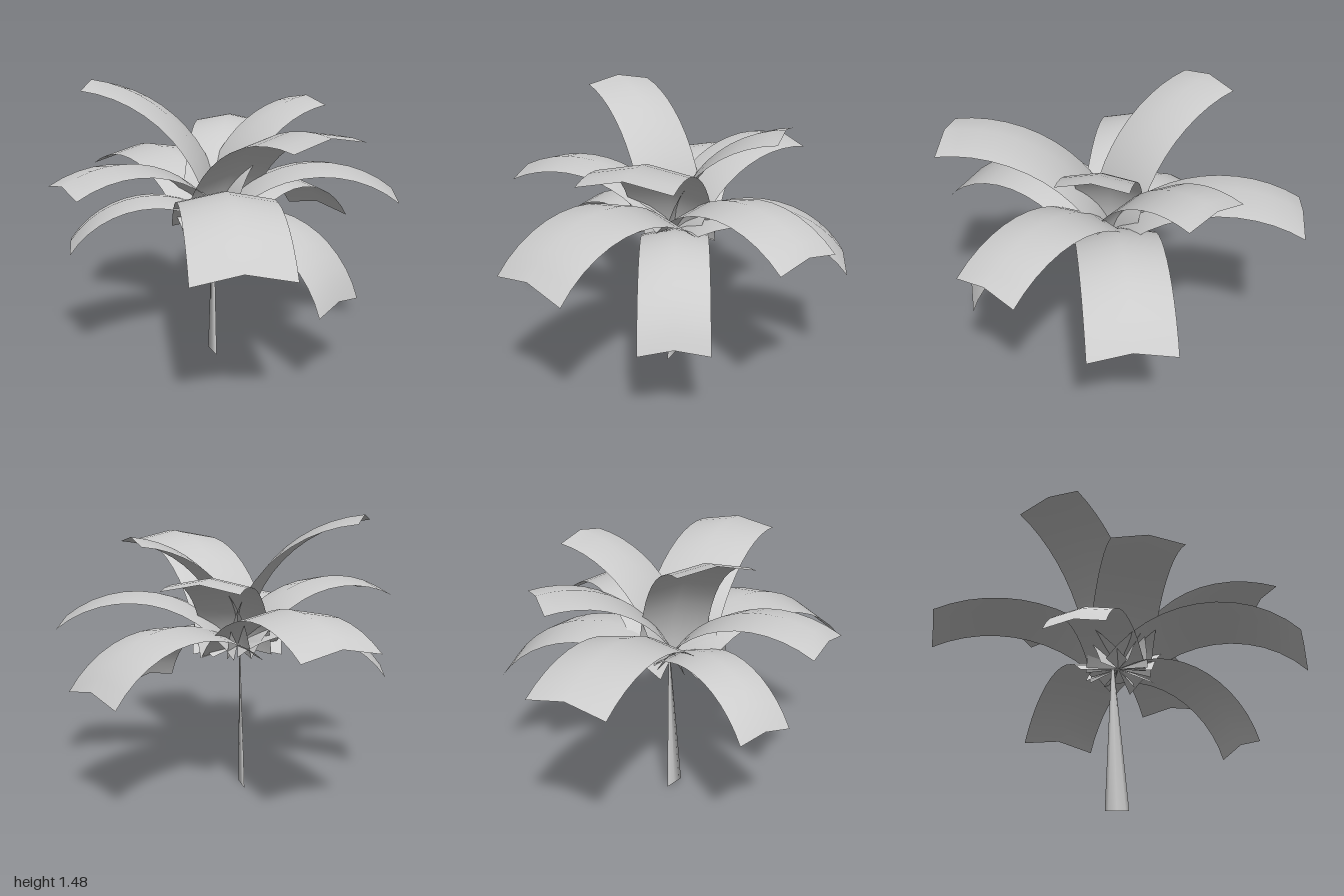
import * as THREE from 'three';

const leafGrey = new THREE.MeshStandardMaterial({ color: 0xcccccc, side: THREE.DoubleSide });
leafGrey.name = 'pale grey';

const CROWN = new THREE.Vector3(-0.03, 0.78, 0); // where all midribs start
const DROP = 0.1; // how far the edges hang below the midrib, per unit of width

// A ribbon whose midrib follows a circular arc from the crown to the tip.
// tipY is the height of the tip corners, bend is half the angle of the arc.
function frond(tipX, tipY, tipZ, width, bend) {
  const dx = tipX - CROWN.x, dz = tipZ - CROWN.z;
  const rise = tipY + DROP * width - CROWN.y;
  const reach = Math.hypot(dx, dz), chord = Math.hypot(reach, rise);
  const half = THREE.MathUtils.degToRad(bend);
  const radius = chord / (2 * Math.sin(half));
  const start = Math.atan2(rise, reach) + half; // slope at the base
  const ux = dx / reach, uz = dz / reach;

  const geo = new THREE.PlaneGeometry(width, 1, 2, 12);
  const p = geo.attributes.position;
  for (let i = 0; i < p.count; i++) {
    const side = p.getX(i);
    const slope = start - 2 * half * (p.getY(i) + 0.5);
    const r = radius * (Math.sin(start) - Math.sin(slope));
    const h = radius * (Math.cos(slope) - Math.cos(start)) - 2 * DROP * Math.abs(side);
    p.setXYZ(i, CROWN.x + ux * r - uz * side, CROWN.y + h, CROWN.z + uz * r + ux * side);
  }
  geo.computeVertexNormals();
  return new THREE.Mesh(geo, leafGrey);
}

// Tapering round trunk pressed almost flat, keeping its rounded normals
function trunk() {
  const height = 0.78;
  const geo = new THREE.CylinderGeometry(0.008, 0.06, height, 8, 1, true);
  const p = geo.attributes.position;
  for (let i = 0; i < p.count; i++) {
    const t = p.getY(i) / height + 0.5;
    p.setXYZ(i,
      p.getX(i) * 0.01 + THREE.MathUtils.lerp(-0.052, -0.035, t),
      height * t,
      p.getZ(i) + THREE.MathUtils.lerp(-0.007, -0.03, t));
  }
  return new THREE.Mesh(geo, leafGrey);
}

export function createModel() {
  const model = new THREE.Group();
  model.name = 'palm';

  const stem = trunk();
  stem.name = 'trunk';
  model.add(stem);

  // tip centre x, y, z, width and bend of each frond
  const fronds = [
    [-0.225, 0.912, -0.96, 0.422, 41],
    [0.32, 1.168, -0.612, 0.37, 42],
    [0.788, 0.636, -0.358, 0.43, 48],
    [0.832, 0.887, 0.339, 0.373, 48],
    [0.538, 1.342, -0.082, 0.34, 40],
    [-0.578, 1.447, -0.36, 0.362, 41],
    [-0.767, 0.645, -0.206, 0.3, 48],
    [-0.873, 1.02, 0.129, 0.345, 45],
    [-0.3, 0.757, 0.932, 0.473, 51],
    [0.163, 1.285, 0.828, 0.437, 41],
    [0.324, 0.453, 0.683, 0.346, 51],
  ];
  fronds.forEach((f, i) => {
    const leaf = frond(...f);
    leaf.name = 'frond' + (i + 1);
    model.add(leaf);
  });
  return model;
}
